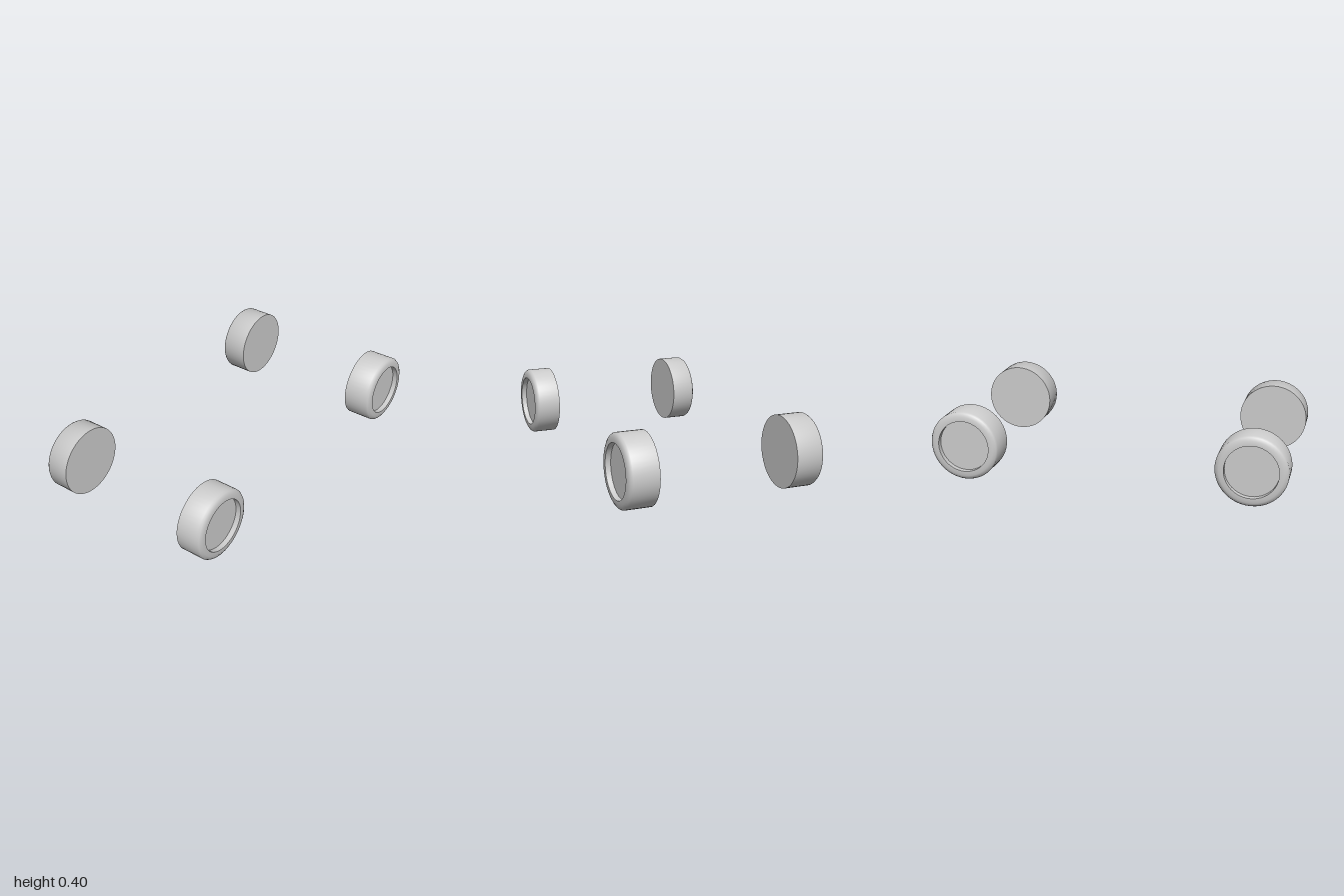
import * as THREE from 'three';
import { toCreasedNormals } from 'three/addons/utils/BufferGeometryUtils.js';

const RADIUS = 0.1975;
const HUB_RADIUS = 0.147;
const HUB_DEPTH = 0.03;

// Wheel turned around its axle: flat inner face, rounded shoulder, recessed hub
function wheelGeometry(width) {
  const profile = [
    [0, 0],
    [RADIUS, 0],
    [RADIUS, width - 0.02],
    [RADIUS - 0.007, width - 0.009],
    [RADIUS - 0.024, width],
    [HUB_RADIUS, width],
    [HUB_RADIUS, width - HUB_DEPTH],
    [0, width - HUB_DEPTH],
  ].map(([r, h]) => new THREE.Vector2(r, h));
  return toCreasedNormals(new THREE.LatheGeometry(profile, 48), 0.7);
}

export function createModel() {
  const model = new THREE.Group();
  model.name = 'wheelSet';
  const material = new THREE.MeshStandardMaterial({ color: 0xcccccc });

  // The rear wheels are slightly wider than the front ones
  const axles = [
    { name: 'front', z: 1 - RADIUS, inner: 0.387, outer: 0.533 },
    { name: 'rear', z: RADIUS - 1, inner: 0.382, outer: 0.545 },
  ];
  for (const { name, z, inner, outer } of axles) {
    const geometry = wheelGeometry(outer - inner);
    for (const side of [1, -1]) {
      const wheel = new THREE.Mesh(geometry, material);
      wheel.name = name + (side > 0 ? 'LeftWheel' : 'RightWheel');
      wheel.rotation.z = -side * Math.PI / 2; // hub faces outward
      wheel.position.set(side * inner, RADIUS, z);
      model.add(wheel);
    }
  }
  return model;
}
